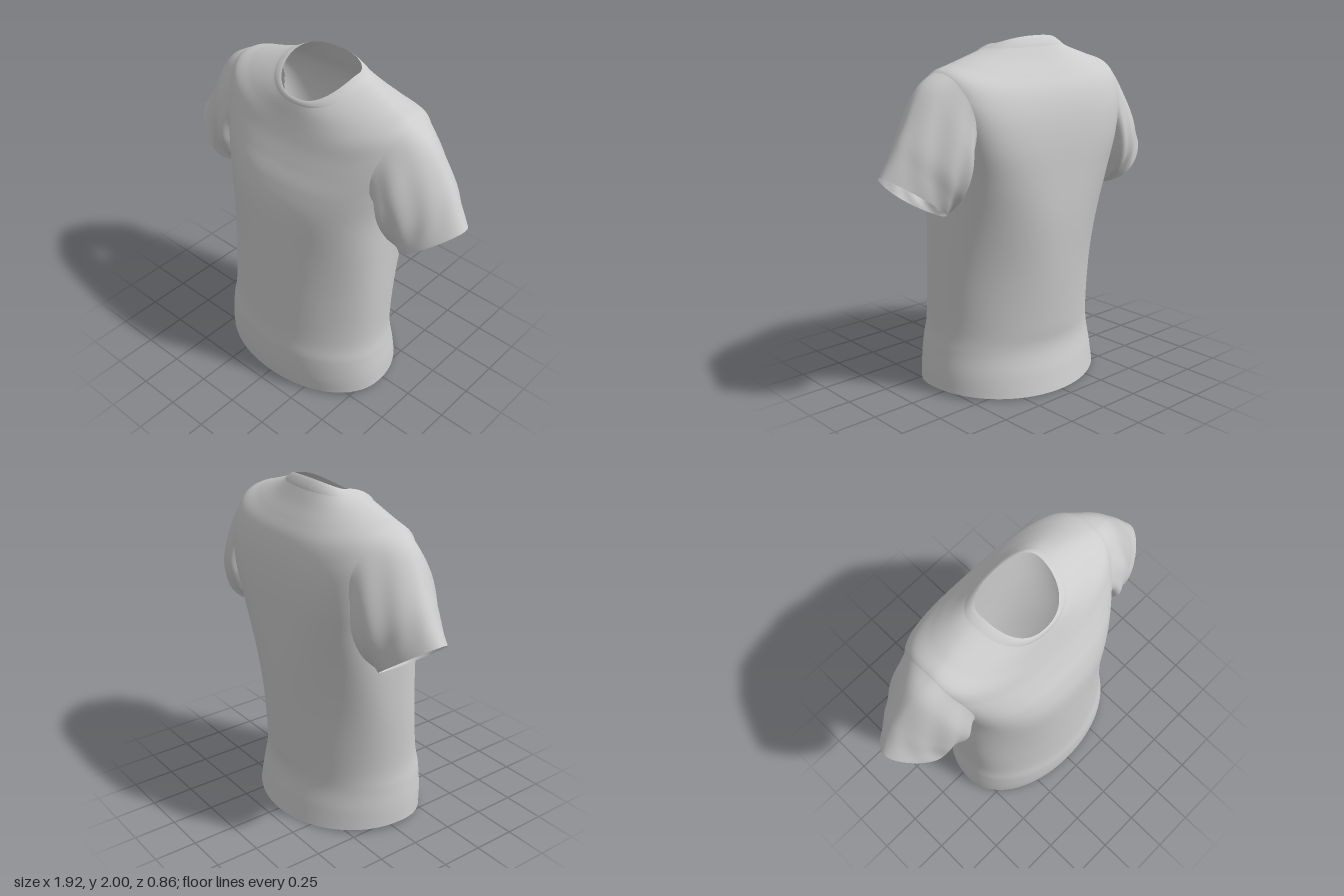
import * as THREE from 'three';

// Body rings, hem to neck:
// [yFront, ySide, yBack, halfWidth, zFront, zBack, zSide, frontPower, backPower]
// (a lower power gives a squarer outline)
const BODY = [
  [0.01, 0.035, 0.005, 0.567, 0.42, -0.425, 0.06, 0.97, 1],
  [0.12, 0.14, 0.12, 0.56, 0.43, -0.4, 0.06, 0.97, 1],
  [0.26, 0.26, 0.26, 0.545, 0.428, -0.37, 0.06, 0.97, 1],
  [0.4, 0.4, 0.4, 0.53, 0.413, -0.38, 0.05, 0.97, 1],
  [0.7, 0.7, 0.7, 0.535, 0.4, -0.405, 0.03, 0.95, 0.97],
  [1.0, 1.0, 1.0, 0.535, 0.39, -0.425, 0, 0.9, 0.82],
  [1.25, 1.25, 1.25, 0.535, 0.375, -0.43, -0.04, 0.82, 0.62],
  [1.4, 1.45, 1.42, 0.56, 0.335, -0.43, -0.06, 0.76, 0.52],
  [1.51, 1.62, 1.55, 0.59, 0.285, -0.42, -0.06, 0.75, 0.52],
  [1.6, 1.74, 1.65, 0.605, 0.245, -0.4, -0.06, 0.78, 0.58],
  [1.67, 1.832, 1.73, 0.58, 0.219, -0.37, -0.06, 0.82, 0.66],
  [1.73, 1.874, 1.8, 0.47, 0.199, -0.325, -0.07, 0.85, 0.75],
  [1.78, 1.909, 1.87, 0.36, 0.183, -0.275, -0.08, 0.85, 0.82],
  [1.815, 1.938, 1.94, 0.27, 0.171, -0.23, -0.085, 0.85, 0.85],
  [1.845, 1.963, 2.0, 0.213, 0.16, -0.19, -0.09, 0.85, 0.85],
];
const LAST = BODY.length - 1;

// Sleeve rings after the armhole: [topX, topY, bottomX, bottomY, zFront, zBack, zMiddle]
const SLEEVE = [
  [0.7, 1.752, 0.535, 1.22, 0.165, -0.33, -0.07],
  [0.83, 1.55, 0.56, 1.16, 0.135, -0.31, -0.09],
  [0.9, 1.43, 0.59, 1.115, 0.11, -0.275, -0.09],
  [0.96, 1.33, 0.615, 1.08, 0.1, -0.25, -0.08],
];

// Smooth interpolation through a list of equal-length rows
function smooth(rows, u) {
  const n = rows.length - 1;
  const i = Math.max(0, Math.min(n - 1, Math.floor(u)));
  const t = u - i;
  const b = rows[i], c = rows[i + 1];
  const a = i > 0 ? rows[i - 1] : b.map((v, k) => 2 * v - c[k]);
  const d = i < n - 1 ? rows[i + 2] : c.map((v, k) => 2 * v - b[k]);
  return b.map((v, k) => v + 0.5 * t * (c[k] - a[k]
    + t * (2 * a[k] - 5 * v + 4 * c[k] - d[k] + t * (3 * (v - c[k]) + d[k] - a[k]))));
}

// Body surface; angle 0 is the left side, PI/2 the front
function bodyPoint(u, angle) {
  const [yF, yS, yB, w, zF, zB, zS, pF, pB] = smooth(BODY, u);
  const c = Math.cos(angle), s = Math.sin(angle);
  const power = s < 0 ? pB : pF;
  const x = w * Math.sign(c) * Math.abs(c) ** power;
  const z = zS + ((s < 0 ? zB : zF) - zS) * Math.abs(s) ** power;
  const y = yS + ((s < 0 ? yB : yF) - yS) * Math.abs(s) ** 1.35;
  // soft vertical hollows beside the belly and the back
  const drape = 0.02 * Math.exp(-(((u - 4.4) / 1.4) ** 2)) * Math.sin(2 * angle) ** 2;
  return [x, y, z - drape * Math.sign(s)];
}

// Tube-like surface from a rule, closed around, open at both ends
function loft(rule, u0, u1, nu, nv, skip = () => false) {
  const pos = [], index = [];
  for (let i = 0; i <= nu; i++) {
    for (let j = 0; j < nv; j++) {
      pos.push(...rule(u0 + (u1 - u0) * i / nu, j / nv * Math.PI * 2));
    }
  }
  for (let i = 0; i < nu; i++) {
    for (let j = 0; j < nv; j++) {
      if (skip(u0 + (u1 - u0) * (i + 0.5) / nu, (j + 0.5) / nv * Math.PI * 2)) continue;
      const a = i * nv + j, d = i * nv + (j + 1) % nv;
      index.push(a, a + nv, d + nv, a, d + nv, d);
    }
  }
  const g = new THREE.BufferGeometry();
  g.setAttribute('position', new THREE.Float32BufferAttribute(pos, 3));
  g.setIndex(index);
  g.computeVertexNormals();
  return g;
}

// Armhole: an oval on each side of the body surface
const HOLE = { mid: 8.2, half: 1.8, angle: 0.58 };
function inArmhole(u, angle) {
  const side = Math.asin(Math.sin(angle));
  return ((u - HOLE.mid) / HOLE.half) ** 2 + (side / HOLE.angle) ** 2 < 0.93;
}

// Sleeve surface growing smoothly out of the armhole; phi 0 is the top
function sleevePoint(u, phi, sign) {
  const a = phi * sign;
  const c = Math.cos(a), s = -Math.sin(a);
  // a wider oval on the body leads in, so the seam follows the body's slope
  const rows = [1.35, 1].map((k) => bodyPoint(HOLE.mid + HOLE.half * k * c, HOLE.angle * k * s));
  for (const [tx, ty, bx, by, zF, zB, zM] of SLEEVE) {
    rows.push([
      (tx + bx) / 2 + (tx - bx) / 2 * c,
      (ty + by) / 2 + (ty - by) / 2 * c,
      zM + ((s < 0 ? zB : zF) - zM) * Math.abs(s) * (1 - 0.33 * c),
    ]);
  }
  const [x, y, z] = smooth(rows, u + 1);
  // folds gathering toward the armpit
  const t = u / SLEEVE.length;
  const fold = 0.013 * Math.sin(Math.PI * t) * (0.55 - 0.45 * c)
    * Math.sin(Math.abs(Math.atan2(s, c)) * 8 - u * 2.2);
  return [sign * (x + fold * 0.5 * c), y + fold * 0.5 * c, z + fold * s];
}

export function createModel() {
  const fabric = new THREE.MeshStandardMaterial({ color: 0xcccccc, side: THREE.DoubleSide });
  fabric.name = 'grey fabric';
  const shirt = new THREE.Group();
  shirt.name = 'shirt';
  const add = (name, geometry) => {
    const mesh = new THREE.Mesh(geometry, fabric);
    mesh.name = name;
    shirt.add(mesh);
  };

  add('body', loft(bodyPoint, 0, LAST, LAST * 12, 192, inArmhole));
  add('leftSleeve', loft((u, p) => sleevePoint(u, p, 1), 0, SLEEVE.length, 32, 96));
  add('rightSleeve', loft((u, p) => sleevePoint(u, p, -1), 0, SLEEVE.length, 32, 96));

  // Neckband: a slightly raised strip around the neck opening
  add('collar', loft((u, angle) => {
    const [x, y, z] = bodyPoint(u, angle);
    const lift = 0.006 * Math.sqrt(Math.max(0, Math.sin(Math.PI * (LAST - u))));
    return [x + lift * Math.cos(angle), y, z + lift * Math.sin(angle)];
  }, LAST - 0.95, LAST, 8, 96));

  return shirt;
}
